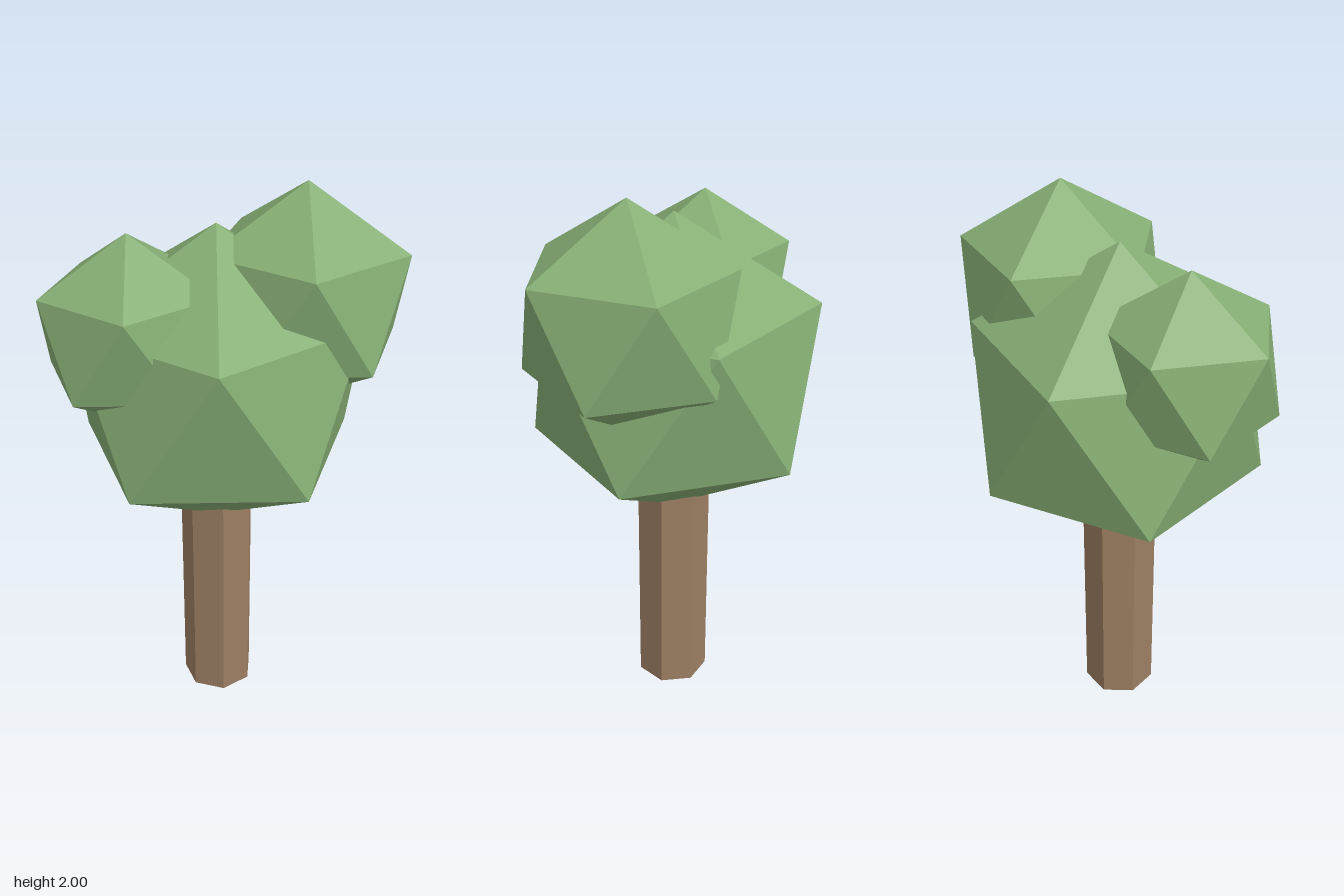
import * as THREE from 'three';

// Icosahedron standing on a vertex, with an upper-ring vertex facing +x
function crownGeometry(radius) {
  const golden = (1 + Math.sqrt(5)) / 2;
  return new THREE.IcosahedronGeometry(radius, 0).rotateZ(-Math.atan(1 / golden));
}

export function createModel() {
  const tree = new THREE.Group();
  tree.name = 'tree';
  const bark = new THREE.MeshStandardMaterial({ color: 0x9c7e62, flatShading: true });
  const leaves = new THREE.MeshStandardMaterial({ color: 0x86ae74, flatShading: true });

  // Seven-sided trunk, a flat face to the front, its top sunk into the crown
  const height = 1.0;
  const trunk = new THREE.Mesh(
    new THREE.CylinderGeometry(0.135, 0.135, height, 7, 1, false, Math.PI / 7), bark);
  trunk.name = 'trunk';
  trunk.position.set(-0.035, height / 2, 0);
  tree.add(trunk);

  // Three overlapping leaf clumps: name, radius, centre
  const clumps = [
    ['mainFoliage', 0.56, [-0.035, 1.32, 0]],
    ['leftFoliage', 0.391, [0.232, 1.609, -0.145]],
    ['rightFoliage', 0.336, [-0.28, 1.541, 0.17]],
  ];
  for (const [name, radius, centre] of clumps) {
    const clump = new THREE.Mesh(crownGeometry(radius), leaves);
    clump.name = name;
    clump.position.set(...centre);
    tree.add(clump);
  }
  return tree;
}
